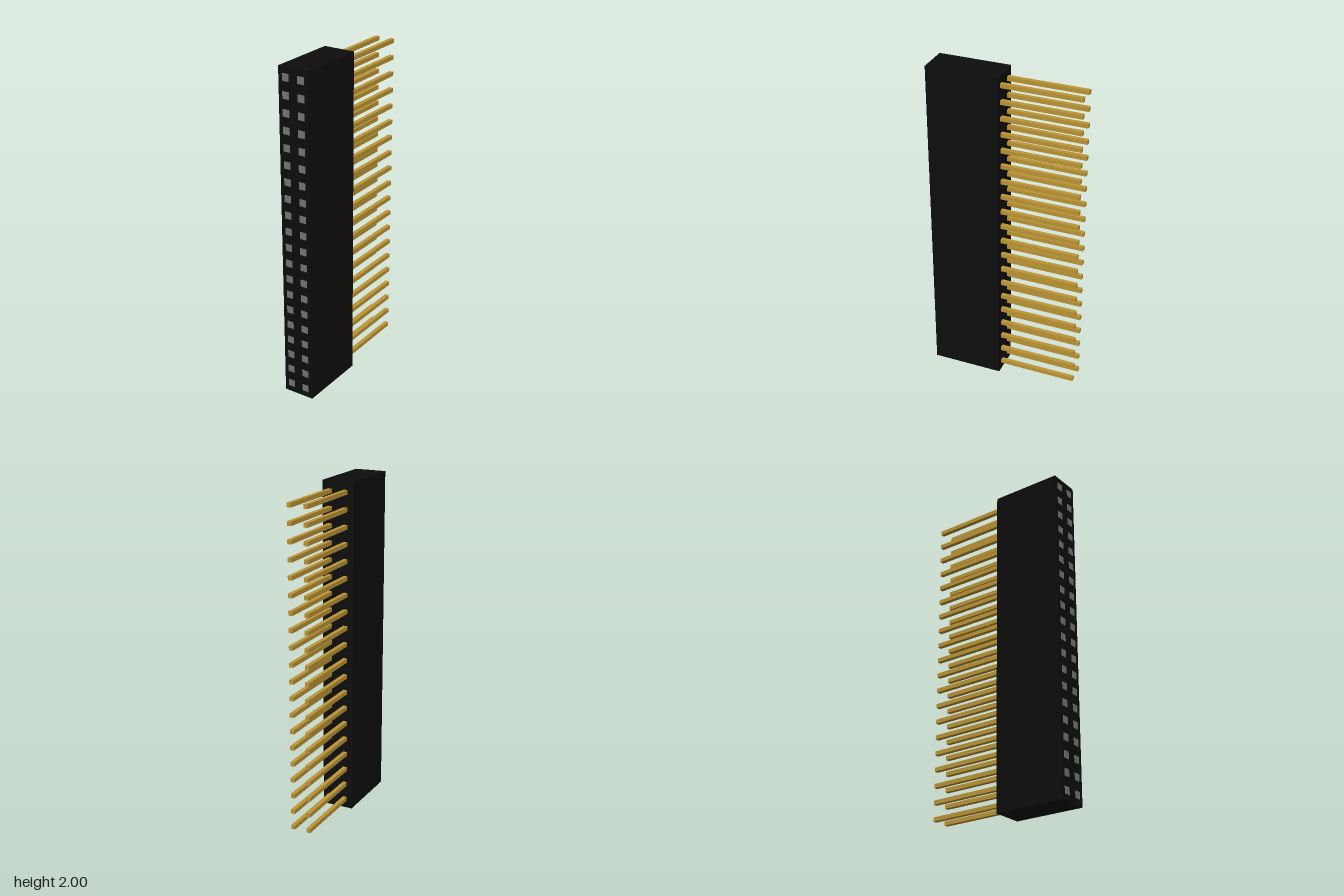
import * as THREE from 'three';

const ROWS = 20;
const PITCH = 0.0992;
const COLUMN_X = 0.0495;

const mat = (name, color) => {
  const m = new THREE.MeshStandardMaterial({ color });
  m.name = name;
  return m;
};

export function createModel() {
  const model = new THREE.Group();
  model.name = 'pinSocket';

  const black = mat('black plastic', 0x0d0d0d);
  const gold = mat('gold', 0xbc9535);
  const grey = mat('socket grey', 0x757575);

  const addBox = (name, material, geometry, x, y, z) => {
    const mesh = new THREE.Mesh(geometry, material);
    mesh.name = name;
    mesh.position.set(x, y, z);
    model.add(mesh);
  };

  // Plastic housing
  addBox('housing', black, new THREE.BoxGeometry(0.191, 2, 0.43), 0, 1, 0.235);

  // Two columns of pins at the back, with matching socket openings on the front
  const pin = new THREE.BoxGeometry(0.025, 0.025, 0.483);
  const opening = new THREE.BoxGeometry(0.042, 0.042, 0.004);
  for (let row = 0; row < ROWS; row++) {
    const y = 1 + (row - (ROWS - 1) / 2) * PITCH;
    for (const x of [-COLUMN_X, COLUMN_X]) {
      addBox('pin', gold, pin, x, y, -0.2115);
      addBox('socketOpening', grey, opening, x, y, 0.451);
    }
  }
  return model;
}
